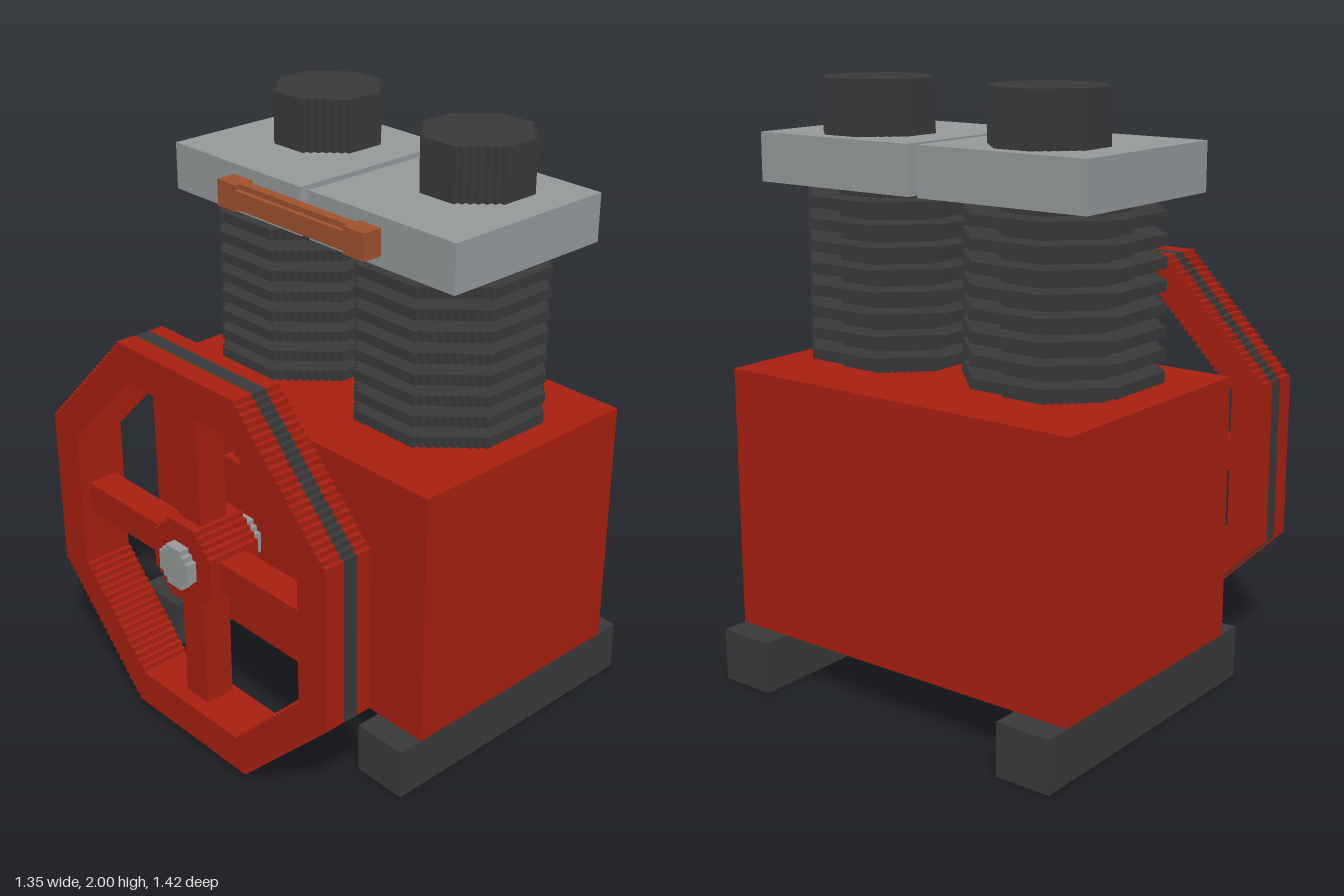
import * as THREE from 'three';

// One grid step; the whole model sits on this grid
const U = 2 / 113;

const material = (name, color) => {
  const m = new THREE.MeshStandardMaterial({ color });
  m.name = name;
  return m;
};

// Outline of an octagon with stepped corners: r = half width, f = half flat side
function steppedPoints(r, f) {
  const quarter = [];
  for (let i = 0; i < r - f; i++) {
    quarter.push([r - i, f + i], [r - i - 1, f + i]);
  }
  quarter.push([f, r]);
  const points = [];
  for (let q = 0; q < 4; q++) {
    for (const [x, y] of quarter) {
      const turned = [[x, y], [-y, x], [-x, -y], [y, -x]][q];
      points.push(new THREE.Vector2(turned[0], turned[1]));
    }
  }
  return points;
}

// Stepped octagon prism (or ring, with a hole) along +z, starting at z = 0
function prism(r, f, depth, hole) {
  const shape = new THREE.Shape(steppedPoints(r, f));
  if (hole) shape.holes.push(new THREE.Path(steppedPoints(hole[0], hole[1])));
  return new THREE.ExtrudeGeometry(shape, { depth, bevelEnabled: false });
}

export function createModel() {
  const red = material('red paint', 0xa82010);
  const dark = material('dark iron', 0x3a3a3a);
  const steel = material('grey steel', 0x969a9c);
  const copper = material('copper', 0xa0522d);

  const model = new THREE.Group();
  model.name = 'compressor';
  const build = new THREE.Group();
  build.name = 'machine';
  build.scale.setScalar(U);
  model.add(build);

  const add = (name, geometry, mat, parent = build) => {
    const mesh = new THREE.Mesh(geometry, mat);
    mesh.name = name;
    parent.add(mesh);
    return mesh;
  };
  // Box given by its limits on each axis
  const box = (name, mat, [x0, x1], [y0, y1], [z0, z1], parent) => {
    const g = new THREE.BoxGeometry(x1 - x0, y1 - y0, z1 - z0);
    g.translate((x0 + x1) / 2, (y0 + y1) / 2, (z0 + z1) / 2);
    return add(name, g, mat, parent);
  };
  // Prism facing forward from z0 to z1
  const disc = (name, mat, r, f, y, z0, z1, hole, parent) => {
    const mesh = add(name, prism(r, f, z1 - z0, hole), mat, parent);
    mesh.position.set(0, y, z0);
    return mesh;
  };
  // Upright prism from y0 to y1
  const column = (name, mat, r, f, x, z, y0, y1, parent) => {
    const g = prism(r, f, y1 - y0);
    g.rotateX(-Math.PI / 2);
    const mesh = add(name, g, mat, parent);
    mesh.position.set(x, y0, z);
    return mesh;
  };

  // Crankcase with its front bearing and gauge
  box('crankcase', red, [-38, 38], [10, 60], [-35, 15]);
  disc('bearingHousing', red, 14, 6, 40, 15, 23);
  box('gauge', steel, [15, 23], [18, 25], [15, 16]);

  // Feet and cylinders, one on each side
  for (const s of [-1, 1]) {
    const side = s > 0 ? 'left' : 'right';
    box(side + 'Foot', dark, s > 0 ? [27, 38] : [-38, -27], [0, 10], [-40, 20]);

    const cylinder = new THREE.Group();
    cylinder.name = side + 'Cylinder';
    build.add(cylinder);
    column('barrel', dark, 11.5, 4.5, s * 18.5, -10, 60, 94, cylinder);
    for (let i = 0; i < 8; i++) {
      column('coolingFin', dark, 16.5, 7.5, s * 18.5, -10, 62 + 4 * i, 64 + 4 * i, cylinder);
    }
    box('head', steel, s > 0 ? [1, 36] : [-36, -1], [94, 103], [-28, 8], cylinder);
    column('airFilter', dark, 10, 4, s * 19, -15, 103, 113, cylinder);
  }

  // Copper pipe across both heads
  const pipe = new THREE.Group();
  pipe.name = 'connectingPipe';
  build.add(pipe);
  box('pipeCore', copper, [-14, 14], [96, 101], [9, 11], pipe);
  box('pipeFront', copper, [-14, 14], [97, 100], [11, 12], pipe);
  box('pipeBack', copper, [-14, 14], [97, 100], [8, 9], pipe);
  box('pipeEndLeft', copper, [14, 19], [96, 101], [8, 12], pipe);
  box('pipeEndRight', copper, [-19, -14], [96, 101], [8, 12], pipe);

  // Flywheel: rim with a belt sunk flush in its groove, spokes, hub and shaft
  const wheel = new THREE.Group();
  wheel.name = 'flywheel';
  build.add(wheel);
  disc('rimFront', red, 38, 16, 40, 34, 38, [31, 14], wheel);
  disc('rimBack', red, 38, 16, 40, 28, 31, [31, 14], wheel);
  disc('rimCore', red, 35, 15, 40, 31, 34, [31, 14], wheel);
  disc('belt', dark, 38, 16, 40, 31, 34, [35, 15], wheel);
  box('verticalSpokes', red, [-3, 3], [10, 70], [30, 36], wheel);
  box('horizontalSpokes', red, [-31, 31], [37, 43], [30, 36], wheel);
  disc('hub', red, 8, 4, 40, 27, 38, null, wheel);
  disc('shaft', steel, 4, 2, 40, 15, 40, null, wheel);

  return model;
}
